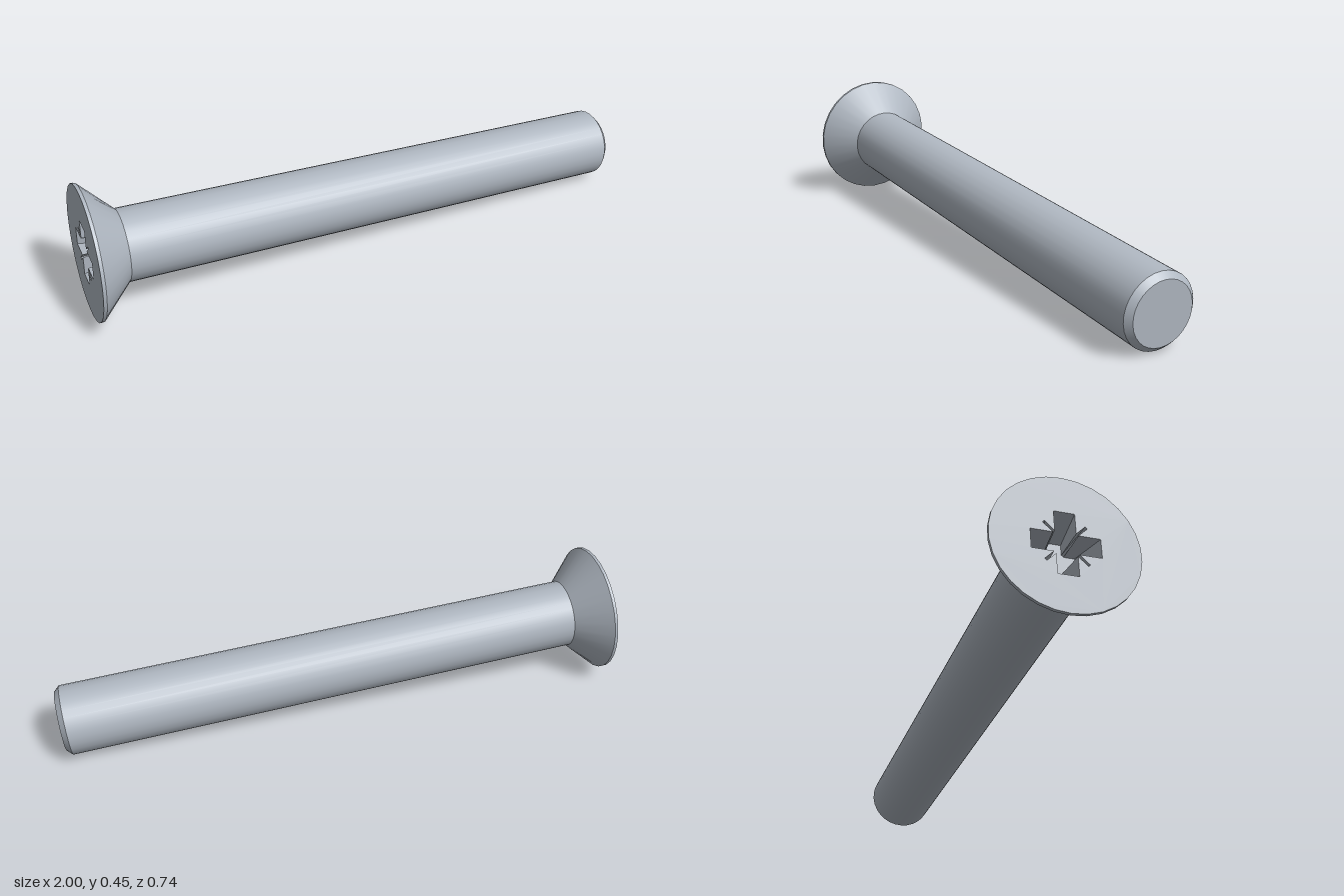
import * as THREE from 'three';

const SIDES = 30;
const HEAD_R = 0.2275, SHAFT_R = 0.122, TIP_R = 0.1035;
const LENGTH = 1.975, RECESS_DEPTH = 0.1;

// Cross outline with a narrow notch in each inner corner, counter-clockwise
function crossOutline(arm, half, notch) {
  const e = 0.006;
  const quarter = [
    [arm, -half], [arm, half], [half + e, half],
    [notch + e / 2, notch - e / 2], [notch - e / 2, notch + e / 2], [half, half + e],
  ];
  const points = [];
  for (let k = 0; k < 4; k++) {
    const c = Math.round(Math.cos(k * Math.PI / 2)), s = Math.round(Math.sin(k * Math.PI / 2));
    for (const [x, y] of quarter) points.push(new THREE.Vector2(c * x - s * y, s * x + c * y));
  }
  return points;
}

export function createModel() {
  const steel = new THREE.MeshStandardMaterial({ color: 0xb0b8c2 });
  steel.name = 'steel grey';
  const model = new THREE.Group();
  model.name = 'countersunkScrew';

  const add = (name, geometry) => {
    const mesh = new THREE.Mesh(geometry, steel);
    mesh.name = name;
    model.add(mesh);
  };
  // One straight band of the turned body, so that edges between bands stay sharp
  const band = (name, r0, y0, r1, y1) => add(name, new THREE.LatheGeometry(
    [new THREE.Vector2(r0, y0), new THREE.Vector2(r1, y1)], SIDES));

  // Turned body: local +y runs out of the head, origin at the head face
  band('tipFace', 0, -LENGTH, TIP_R, -LENGTH);
  band('tipChamfer', TIP_R, -LENGTH, SHAFT_R, -LENGTH + 0.019);
  band('shaft', SHAFT_R, -LENGTH + 0.019, SHAFT_R, -0.118);
  band('headCone', SHAFT_R, -0.118, HEAD_R, -0.011);
  band('headRim', HEAD_R, -0.011, HEAD_R, 0);

  // Head face with the drive recess cut out
  const top = crossOutline(0.105, 0.032, 0.064);
  const bottom = crossOutline(0.065, 0.025, 0.029);
  const disc = [];
  for (let i = 0; i < SIDES; i++) {
    const a = i * 2 * Math.PI / SIDES;
    disc.push(new THREE.Vector2(HEAD_R * Math.sin(a), -HEAD_R * Math.cos(a)));
  }
  const faceShape = new THREE.Shape(disc);
  faceShape.holes.push(new THREE.Path(top));
  add('headFace', new THREE.ShapeGeometry(faceShape).rotateX(-Math.PI / 2));

  // Tapered recess walls and floor
  const walls = [];
  top.forEach((a, i) => {
    const j = (i + 1) % top.length;
    const b = top[j], c = bottom[j], d = bottom[i];
    const A = [a.x, 0, -a.y], B = [b.x, 0, -b.y];
    const C = [c.x, -RECESS_DEPTH, -c.y], D = [d.x, -RECESS_DEPTH, -d.y];
    walls.push(...A, ...B, ...D, ...B, ...C, ...D);
  });
  const wallGeometry = new THREE.BufferGeometry();
  wallGeometry.setAttribute('position', new THREE.Float32BufferAttribute(walls, 3));
  wallGeometry.computeVertexNormals();
  add('recessWalls', wallGeometry);
  add('recessFloor', new THREE.ShapeGeometry(new THREE.Shape(bottom))
    .rotateX(-Math.PI / 2).translate(0, -RECESS_DEPTH, 0));

  // Lay the screw down along its slanted axis
  const yAxis = new THREE.Vector3(-0.977, 0.053, -0.206).normalize();
  const xAxis = new THREE.Vector3(-0.206, 0, 0.977).normalize();
  const zAxis = new THREE.Vector3().crossVectors(xAxis, yAxis);
  model.quaternion.setFromRotationMatrix(new THREE.Matrix4().makeBasis(xAxis, yAxis, zAxis));
  model.position.set(-0.9515, 0.2275, -0.149);

  const root = new THREE.Group();
  root.name = 'screw';
  root.add(model);
  return root;
}
